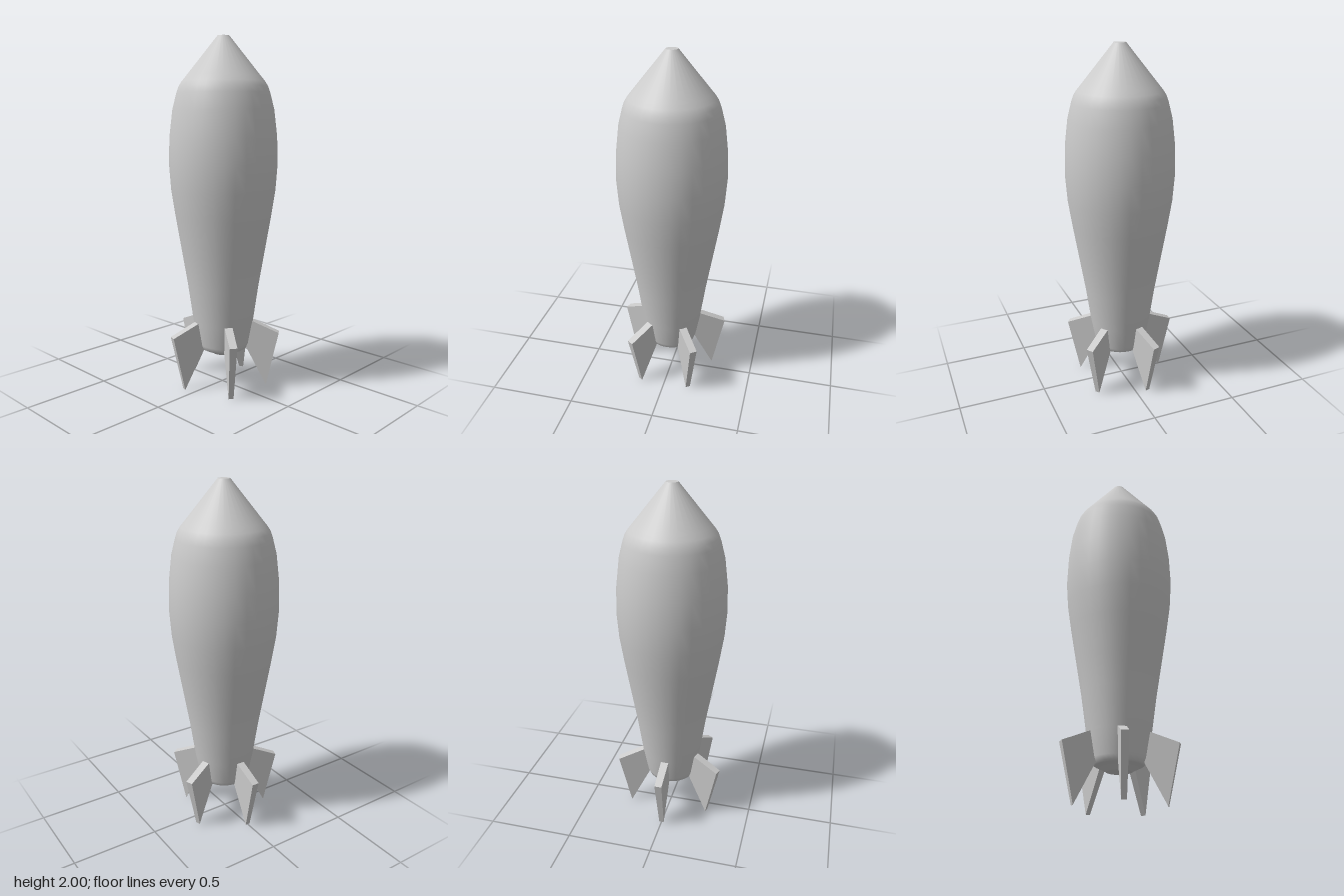
import * as THREE from 'three';

const material = new THREE.MeshStandardMaterial({ color: 0xcccccc });
const AXIS_X = 0.008;
const SIDES = 32;

// Revolved part from [radius, y] pairs listed bottom to top
function lathe(name, profile) {
  const points = profile.map(([r, y]) => new THREE.Vector2(r, y));
  const mesh = new THREE.Mesh(new THREE.LatheGeometry(points, SIDES), material);
  mesh.name = name;
  return mesh;
}

// Swept fin in the radial plane, thinner towards its pointed foot
function finGeometry() {
  const shape = new THREE.Shape([
    [0.13, 0.24], [0.255, 0], [0.327, 0.32], [0.175, 0.385], [0.13, 0.385],
  ].map(([r, y]) => new THREE.Vector2(r, y)));
  const geometry = new THREE.ExtrudeGeometry(shape, { depth: 1, bevelEnabled: false });
  geometry.translate(0, 0, -0.5);
  const p = geometry.attributes.position;
  for (let i = 0; i < p.count; i++) {
    p.setZ(i, p.getZ(i) * (0.028 + 0.045 * p.getY(i)));
  }
  geometry.computeVertexNormals();
  return geometry;
}

export function createModel() {
  const model = new THREE.Group();
  model.name = 'rocket';

  const hull = new THREE.Group();
  hull.name = 'hull';
  hull.position.x = AXIS_X;
  model.add(hull);

  // Smooth tapering body with a rounded shoulder running into the nose cone
  hull.add(lathe('body', [
    [0.128, 0.218], [0.139, 0.225], [0.149, 0.25], [0.175, 0.385], [0.206, 0.6],
    [0.24, 0.8], [0.274, 1.0], [0.297, 1.15], [0.308, 1.3], [0.303, 1.45],
    [0.285, 1.6], [0.262, 1.69], [0.25, 1.725], [0.233, 1.752], [0.21, 1.78], [0.033, 2],
  ]));
  hull.add(lathe('noseCap', [[0.033, 2], [0, 2]]));

  // Short tail cone closing the underside
  hull.add(lathe('tailCone', [[0.068, 0.187], [0.09, 0.2], [0.128, 0.218]]));
  hull.add(lathe('tailCap', [[0, 0.187], [0.068, 0.187]]));

  // Five fins, one of them pointing to -x
  const fin = finGeometry();
  for (let i = 0; i < 5; i++) {
    const mesh = new THREE.Mesh(fin, material);
    mesh.name = `fin${i + 1}`;
    mesh.rotation.y = Math.PI + (i * Math.PI * 2) / 5;
    hull.add(mesh);
  }
  return model;
}
